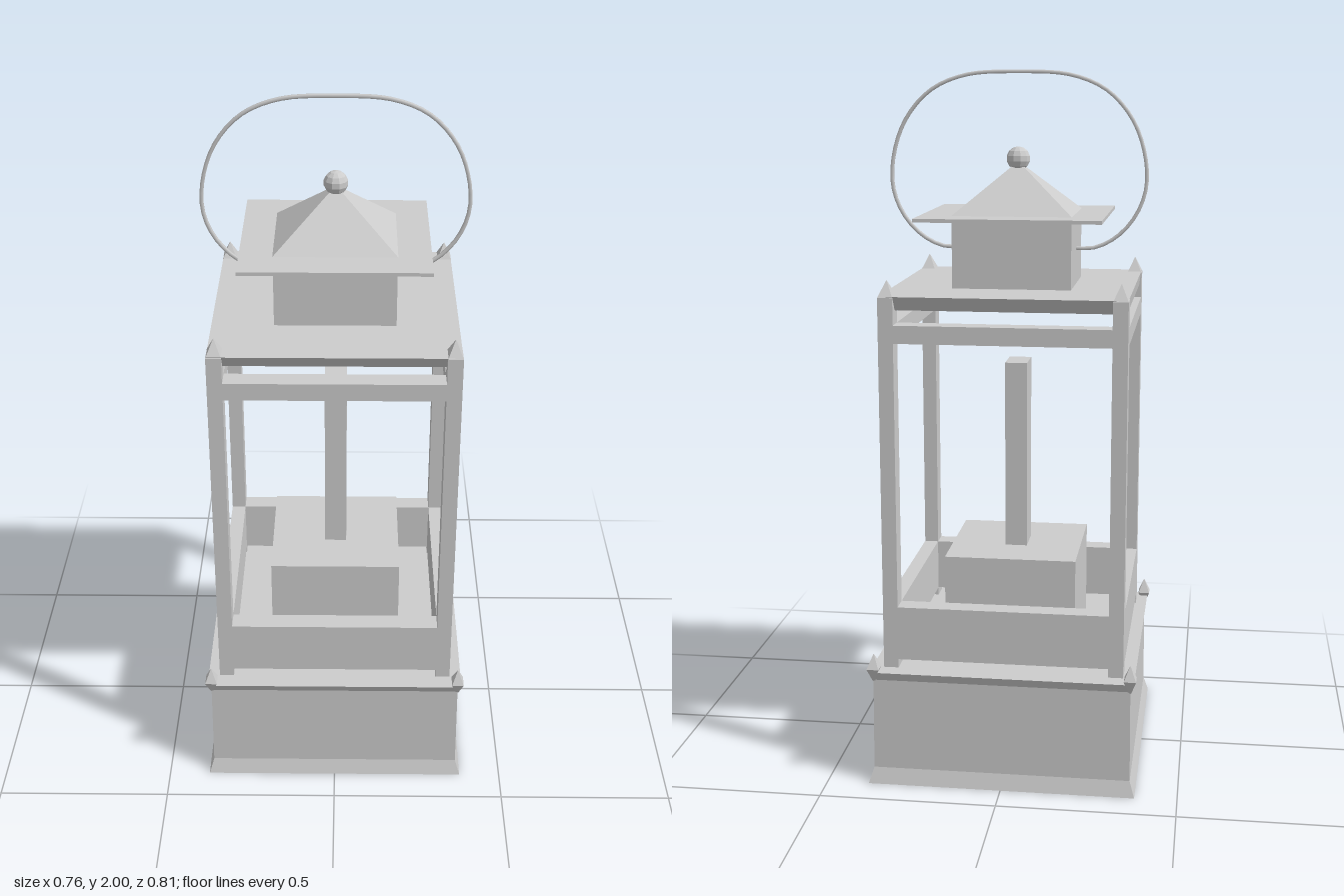
import * as THREE from 'three';

// Lofts rectangular rings [y, halfX, halfZ] from bottom to top, with caps
function loft(levels) {
  const pos = [], idx = [];
  for (const [y, hx, hz] of levels) pos.push(hx, y, hz, hx, y, -hz, -hx, y, -hz, -hx, y, hz);
  for (let l = 0; l < levels.length - 1; l++) {
    for (let i = 0; i < 4; i++) {
      const a = l * 4 + i, b = l * 4 + (i + 1) % 4;
      idx.push(a, b, b + 4, a, b + 4, a + 4);
    }
  }
  const t = (levels.length - 1) * 4;
  idx.push(t, t + 1, t + 2, t, t + 2, t + 3, 0, 2, 1, 0, 3, 2);
  const g = new THREE.BufferGeometry();
  g.setAttribute('position', new THREE.Float32BufferAttribute(pos, 3));
  g.setIndex(idx);
  const flat = g.toNonIndexed();
  flat.computeVertexNormals();
  return flat;
}

export function createModel() {
  const lantern = new THREE.Group();
  lantern.name = 'lantern';
  const metal = new THREE.MeshStandardMaterial({ color: 0xcccccc });
  metal.name = 'grey metal';

  const add = (name, geometry, x = 0, y = 0, z = 0) => {
    const mesh = new THREE.Mesh(geometry, metal);
    mesh.name = name;
    mesh.position.set(x, y, z);
    lantern.add(mesh);
    return mesh;
  };
  const box = (name, w, d, y0, y1, x = 0, z = 0) =>
    add(name, new THREE.BoxGeometry(w, y1 - y0, d), x, (y0 + y1) / 2, z);

  // Base with flared foot and small lip
  add('base', loft([[0, 0.38, 0.405], [0.045, 0.366, 0.39], [0.31, 0.364, 0.388], [0.335, 0.374, 0.4]]));

  // Corner posts with pointed tips, and pointed studs on the base corners
  const post = loft([[0.33, 0.021, 0.029], [1.395, 0.021, 0.029], [1.44, 0.0005, 0.0005]]);
  const stud = loft([[0.305, 0.003, 0.003], [0.345, 0.017, 0.021], [0.385, 0.001, 0.001]]);
  for (const sx of [-1, 1]) {
    for (const sz of [-1, 1]) {
      add('cornerPost', post, sx * 0.32, 0, sz * 0.321);
      add('cornerStud', stud, sx * 0.363, 0, sz * 0.384);
    }
  }

  // Lower panels and upper rails, flush with the posts
  for (const [name, y0, y1] of [['lowerPanel', 0.36, 0.515], ['upperRail', 1.27, 1.32]]) {
    for (const s of [-1, 1]) {
      box(name, 0.6, 0.058, y0, y1, 0, s * 0.321);
      box(name, 0.042, 0.586, y0, y1, s * 0.32, 0);
    }
  }

  // Top plate with edges undercut at front and back
  add('topPlate', loft([[1.358, 0.335, 0.32], [1.398, 0.34, 0.349]]));

  // Burner block and candle
  box('burner', 0.38, 0.386, 0.33, 0.62);
  box('candle', 0.064, 0.104, 0.62, 1.17);

  // Chimney, brim, pyramid cap and finial
  box('chimney', 0.336, 0.31, 1.395, 1.595);
  box('brim', 0.52, 0.51, 1.591, 1.601);
  add('cap', loft([[1.6, 0.17, 0.156], [1.742, 0.004, 0.004]]));
  const ball = new THREE.SphereGeometry(0.034, 10, 7).toNonIndexed();
  ball.computeVertexNormals();
  add('finial', ball, 0, 1.753, 0);

  // Wire carrying handle
  const half = [[0.16, 1.5], [0.22, 1.502], [0.285, 1.535], [0.34, 1.6], [0.366, 1.68],
    [0.357, 1.78], [0.32, 1.87], [0.25, 1.945], [0.15, 1.986]];
  const points = [
    ...half.map(([x, y]) => new THREE.Vector3(-x, y, 0)),
    new THREE.Vector3(0, 1.995, 0),
    ...half.slice().reverse().map(([x, y]) => new THREE.Vector3(x, y, 0)),
  ];
  add('handle', new THREE.TubeGeometry(new THREE.CatmullRomCurve3(points), 60, 0.006, 6));

  return lantern;
}
